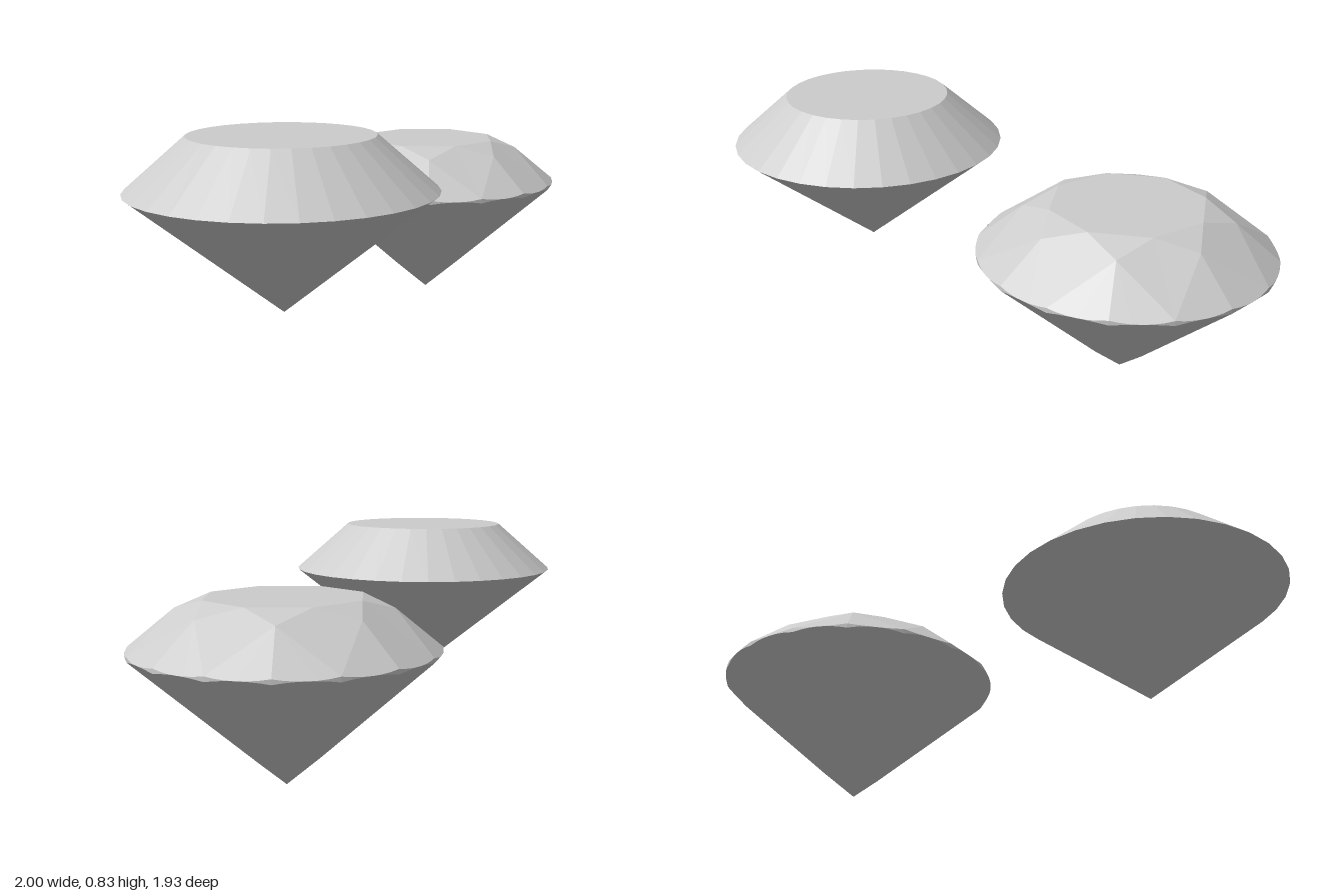
import * as THREE from 'three';

const R = 0.545; // girdle radius shared by both gems

const polar = (deg, r, y) => {
  const a = THREE.MathUtils.degToRad(deg);
  return new THREE.Vector3(Math.sin(a) * r, y, Math.cos(a) * r);
};

// Point on the girdle cylinder where it meets the plane of a facet
function girdlePoint(plane, deg) {
  const p = polar(deg, R, 0);
  p.y = -(plane.constant + plane.normal.x * p.x + plane.normal.z * p.z) / plane.normal.y;
  return p;
}

// Flat facets given as convex loops of points, fanned from the first point
function facetGeometry(facets) {
  const pts = [];
  for (const f of facets) {
    for (let i = 1; i < f.length - 1; i++) pts.push(f[0], f[i], f[i + 1]);
  }
  const geo = new THREE.BufferGeometry().setFromPoints(pts);
  geo.computeVertexNormals();
  return geo;
}

function roundGem(material) {
  const profile = [[0, 0.208], [R, 0.644], [0.327, 0.835], [0, 0.835]];
  const geo = new THREE.LatheGeometry(profile.map(p => new THREE.Vector2(...p)), 32);
  const gem = new THREE.Mesh(geo, material);
  gem.name = 'roundGem';
  return gem;
}

function brilliantGem(material) {
  const tableY = 0.669, upperY = 0.494, lowerY = 0.476, steps = 6;
  const culet = new THREE.Vector3(0, 0, 0);
  const table = [], crown = [], girdle = [], pavilion = [];

  for (let k = 0; k < 8; k++) {
    const a = k * 45;
    const t0 = polar(a, 0.29, tableY), t1 = polar(a + 45, 0.29, tableY);
    const starL = polar(a - 22.5, 0.381, 0.628), starR = polar(a + 22.5, 0.381, 0.628);
    const lowL = polar(a - 22.5, 0.12, 0.097), lowR = polar(a + 22.5, 0.12, 0.097);
    table.push(t0);
    // Star facet, kite facet and pavilion main facet
    crown.push([t0, starR, t1], [t0, starL, polar(a, R, upperY), starR]);
    pavilion.push([culet, lowR, polar(a, R, lowerY), lowL]);

    // Two girdle facets above and below, with scalloped edges
    for (const b of [a, a + 22.5]) {
      const e = b + 22.5;
      const up = new THREE.Plane().setFromCoplanarPoints(starR, polar(b, R, upperY), polar(e, R, upperY));
      const low = new THREE.Plane().setFromCoplanarPoints(lowR, polar(e, R, lowerY), polar(b, R, lowerY));
      const top = [], bottom = [];
      for (let i = 0; i <= steps; i++) {
        const deg = b + (22.5 * i) / steps;
        top.push(girdlePoint(up, deg));
        bottom.push(girdlePoint(low, deg));
      }
      crown.push([starR, ...top]);
      pavilion.push([lowR, ...bottom.slice().reverse()]);
      for (let i = 0; i < steps; i++) girdle.push([top[i], bottom[i], bottom[i + 1], top[i + 1]]);
    }
  }

  const gem = new THREE.Group();
  gem.name = 'brilliantGem';
  const parts = { table: [table], crown, girdle, pavilion };
  for (const [name, facets] of Object.entries(parts)) {
    const mesh = new THREE.Mesh(facetGeometry(facets), material);
    mesh.name = name;
    gem.add(mesh);
  }
  return gem;
}

export function createModel() {
  const grey = new THREE.MeshStandardMaterial({ color: 0xcccccc, flatShading: true });
  grey.name = 'gemGrey';

  const model = new THREE.Group();
  model.name = 'gemPair';
  const left = roundGem(grey);
  left.position.set(-0.455, 0, 0.42);
  const right = brilliantGem(grey);
  right.position.set(0.455, 0, -0.42);
  model.add(left, right);
  return model;
}
